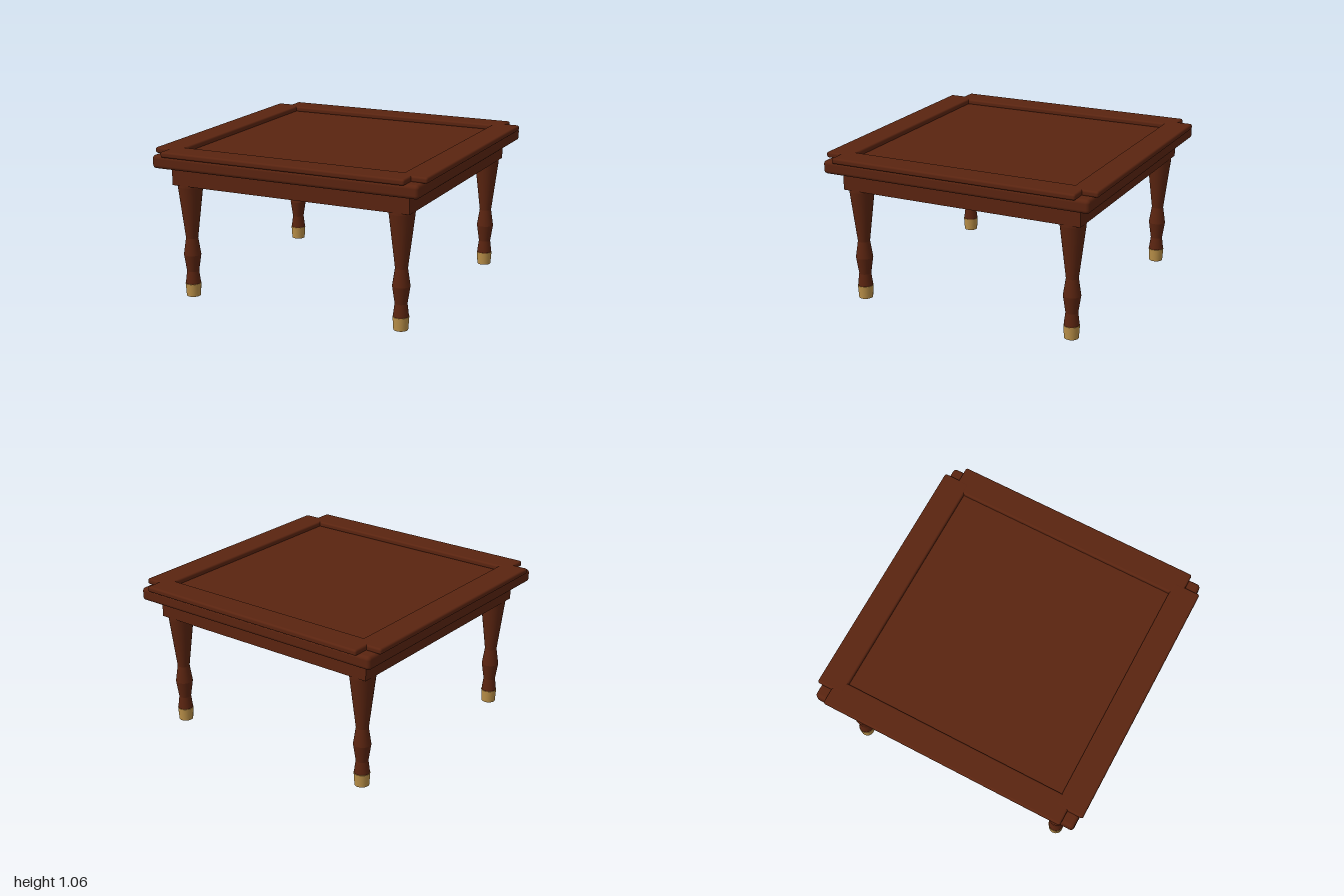
import * as THREE from 'three';
import { mergeGeometries } from 'three/addons/utils/BufferGeometryUtils.js';
import { RoundedBoxGeometry } from 'three/addons/geometries/RoundedBoxGeometry.js';

const wood = new THREE.MeshStandardMaterial({ color: 0x5a2410 });
wood.name = 'mahogany';
const brass = new THREE.MeshStandardMaterial({ color: 0xb98f48 });
brass.name = 'brass';

// Turned leg profile: [radius, height]
const LEG = [[0.048, 0], [0.052, 0.1], [0.042, 0.18], [0.06, 0.3], [0.042, 0.42], [0.087, 0.79], [0.087, 0.82]];

function add(parent, name, geometry, material, x = 0, y = 0, z = 0) {
  const mesh = new THREE.Mesh(geometry, material);
  mesh.name = name;
  mesh.position.set(x, y, z);
  parent.add(mesh);
  return mesh;
}

// Stacked cones keep a crisp ring at every change of the profile
function turned(profile, sides) {
  const pieces = [];
  for (let i = 1; i < profile.length; i++) {
    const [r0, y0] = profile[i - 1];
    const [r1, y1] = profile[i];
    pieces.push(new THREE.CylinderGeometry(r1, r0, y1 - y0, sides).translate(0, (y0 + y1) / 2, 0));
  }
  return mergeGeometries(pieces);
}

export function createModel() {
  const table = new THREE.Group();
  table.name = 'table';

  // Apron and table top
  add(table, 'apron', new THREE.BoxGeometry(1.756, 0.15, 1.756), wood, 0, 0.88, 0);
  add(table, 'tableTop', new RoundedBoxGeometry(1.95, 0.092, 1.95, 4, 0.025), wood, 0, 0.979, 0);

  // Raised rim: four rounded rails, overlapping at the corners
  const rail = new RoundedBoxGeometry(1.78, 0.04, 0.193, 3, 0.014);
  for (let i = 0; i < 4; i++) {
    const a = (i * Math.PI) / 2;
    const lift = i % 2 ? 0 : 0.0006;
    const mesh = add(table, 'rimRail', rail, wood, Math.sin(a) * 0.9035, 1.04 + lift, Math.cos(a) * 0.9035);
    mesh.rotation.y = a;
  }

  // Legs with brass ferrules
  const legShape = turned(LEG, 24);
  const capShape = new THREE.CylinderGeometry(0.055, 0.049, 0.09, 24, 1, true).translate(0, 0.046, 0);
  const capTop = new THREE.RingGeometry(0.04, 0.055, 24).rotateX(-Math.PI / 2).translate(0, 0.091, 0);
  const ferrule = mergeGeometries([capShape, capTop]);
  for (const x of [-0.79, 0.79]) {
    for (const z of [-0.79, 0.79]) {
      const leg = new THREE.Group();
      leg.name = 'leg';
      leg.position.set(x, 0, z);
      add(leg, 'turnedPost', legShape, wood);
      add(leg, 'ferrule', ferrule, brass);
      table.add(leg);
    }
  }
  return table;
}
